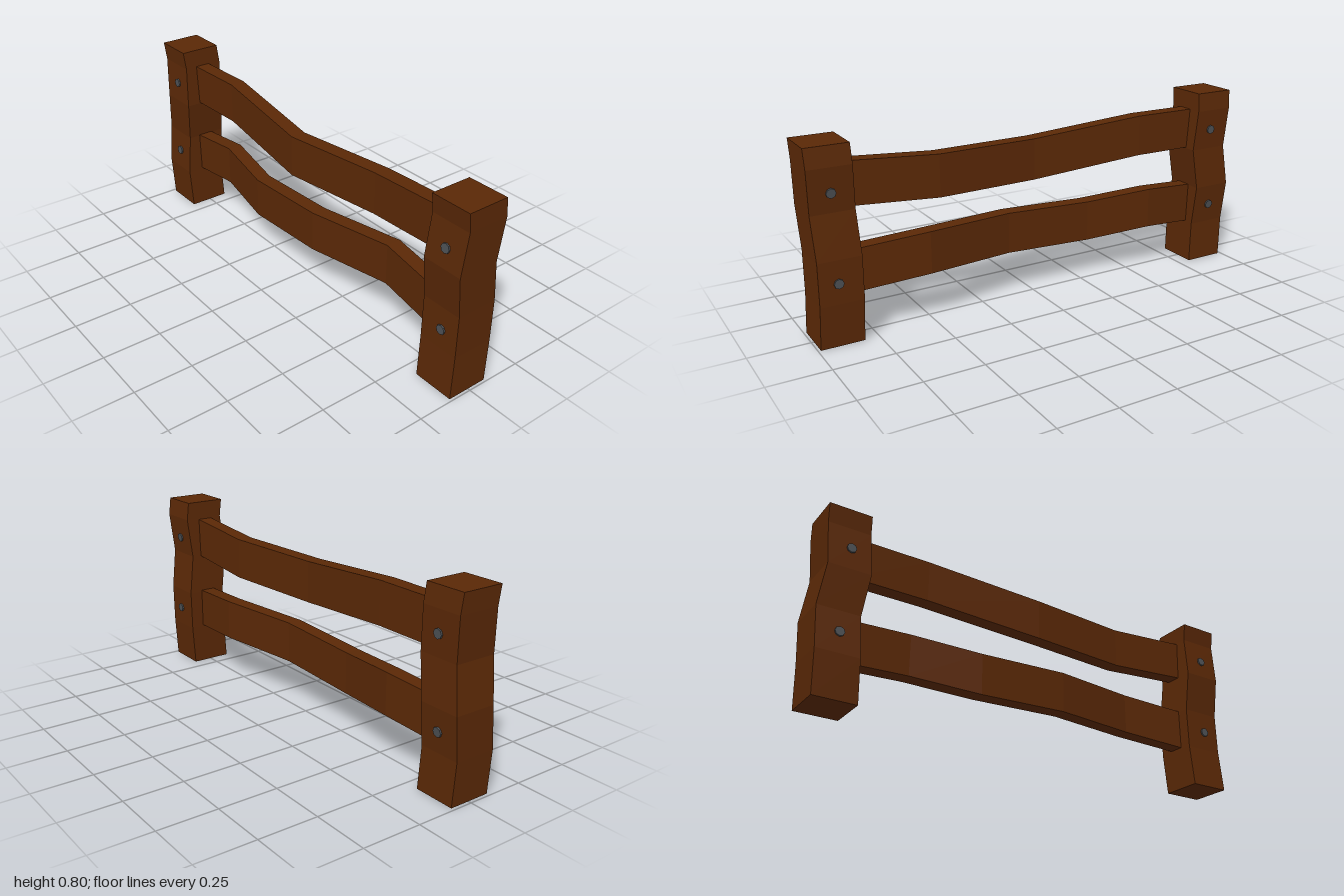
import * as THREE from 'three';

// Flat-sided copy of a geometry
function faceted(geo) {
  const flat = geo.toNonIndexed();
  flat.computeVertexNormals();
  return flat;
}

// Upright bar whose square section follows stations [y, x, z], bottom to top
function bentPost(width, depth, stations) {
  const n = stations.length - 1;
  const geo = new THREE.BoxGeometry(width, 1, depth, 1, n, 1);
  const p = geo.attributes.position;
  for (let i = 0; i < p.count; i++) {
    const [y, x, z] = stations[Math.round((p.getY(i) + 0.5) * n)];
    p.setXYZ(i, p.getX(i) + x, y, p.getZ(i) + z);
  }
  return faceted(geo);
}

// Lengthwise bar whose section follows stations [z, x, y], back to front
function bentRail(width, height, stations) {
  const n = stations.length - 1;
  const geo = new THREE.BoxGeometry(width, height, 1, 1, 1, n);
  const p = geo.attributes.position;
  for (let i = 0; i < p.count; i++) {
    const [z, x, y] = stations[Math.round((p.getZ(i) + 0.5) * n)];
    p.setXYZ(i, p.getX(i) + x, p.getY(i) + y, z);
  }
  return faceted(geo);
}

// Post centre x and its slope at a given height
function postAt(stations, y) {
  const i = stations.findIndex((s) => s[0] > y);
  const [y0, x0] = stations[i - 1];
  const [y1, x1] = stations[i];
  const slope = (x1 - x0) / (y1 - y0);
  return { x: x0 + slope * (y - y0), slope };
}

export function createModel() {
  const wood = new THREE.MeshStandardMaterial({ color: 0x5a2806 });
  wood.name = 'brown wood';
  const iron = new THREE.MeshStandardMaterial({ color: 0x4c5054 });
  iron.name = 'grey iron';

  const group = new THREE.Group();
  group.name = 'fence';
  const add = (name, geo, mat) => {
    const mesh = new THREE.Mesh(geo, mat);
    mesh.name = name;
    group.add(mesh);
    return mesh;
  };

  // Posts and the [y, z] places of their bolts
  const posts = {
    front: {
      stations: [[0, -0.005, 0.9], [0.18, 0.008, 0.895], [0.36, 0.01, 0.895],
        [0.54, -0.013, 0.902], [0.72, 0.006, 0.909], [0.8, -0.005, 0.911]],
      bolts: [[0.62, 0.907], [0.265, 0.905]],
    },
    back: {
      stations: [[0, -0.005, -0.897], [0.18, -0.012, -0.905], [0.36, 0.006, -0.91],
        [0.54, -0.005, -0.886], [0.72, 0.004, -0.898], [0.8, -0.005, -0.902]],
      bolts: [[0.63, -0.886], [0.268, -0.903]],
    },
  };
  const postWidth = 0.18;
  const boltGeo = faceted(new THREE.CylinderGeometry(0.02, 0.02, 0.024, 8).rotateZ(Math.PI / 2));

  for (const [side, { stations, bolts }] of Object.entries(posts)) {
    add(`${side}Post`, bentPost(postWidth, 0.178, stations), wood);
    // Bolt heads on both sides, tilted with the post
    for (const [y, z] of bolts) {
      const { x, slope } = postAt(stations, y);
      for (const s of [-1, 1]) {
        const bolt = add(`${side}Bolt`, boltGeo, iron);
        bolt.position.set(x + s * (postWidth / 2 - 0.005), y, z);
        bolt.rotation.z = -Math.atan(slope);
      }
    }
  }

  // Rails, with their ends buried in the posts
  add('upperRail', bentRail(0.066, 0.178, [[-0.86, 0, 0.632], [-0.52, 0.006, 0.636],
    [-0.01, -0.039, 0.591], [0.45, 0.012, 0.603], [0.86, -0.002, 0.63]]), wood);
  add('lowerRail', bentRail(0.066, 0.178, [[-0.86, 0, 0.271], [-0.58, 0.015, 0.291],
    [-0.28, -0.031, 0.269], [0.12, -0.03, 0.287], [0.51, 0.037, 0.3], [0.86, 0, 0.273]]), wood);

  return group;
}
